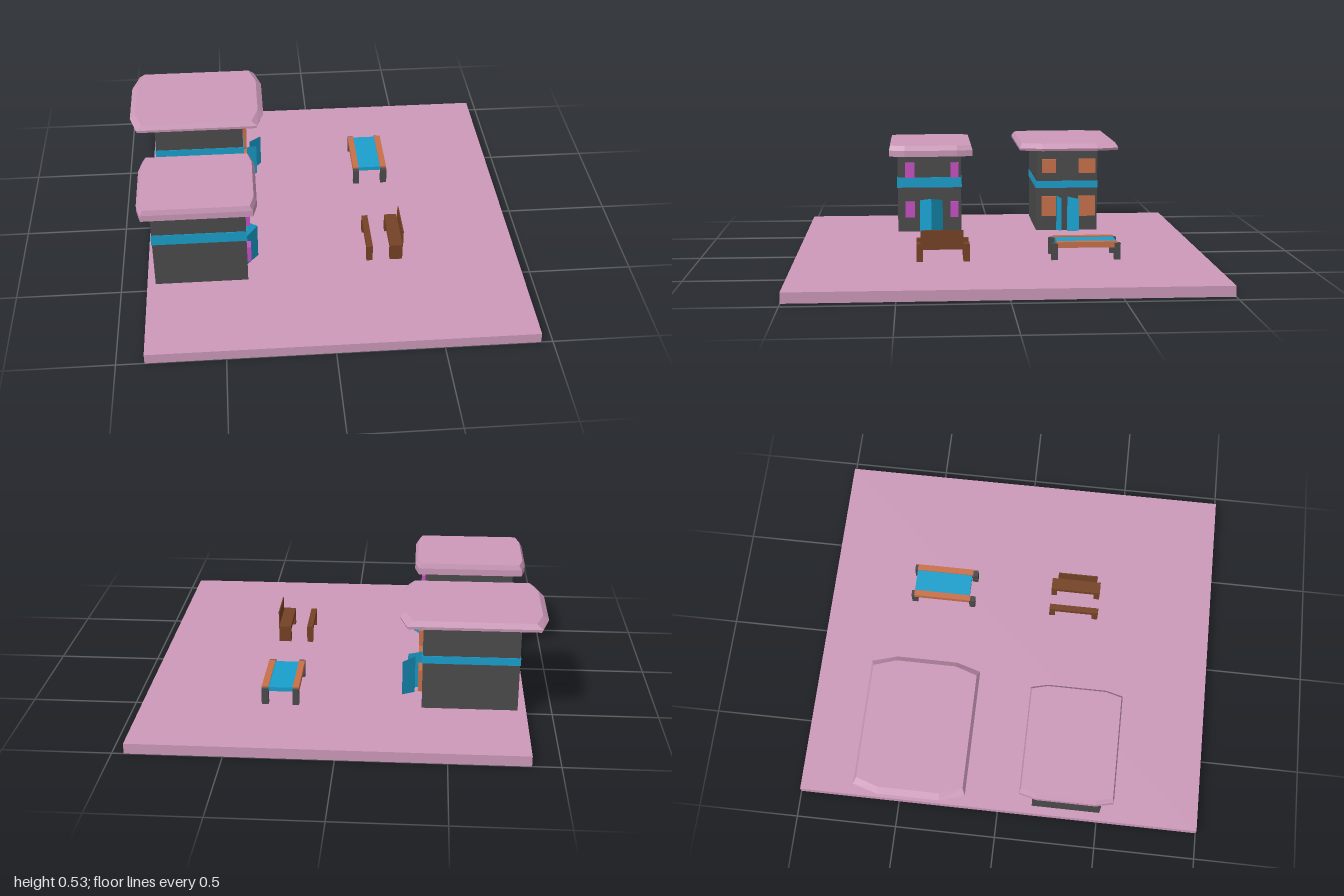
import * as THREE from 'three';

const material = (color, side = THREE.FrontSide) =>
  new THREE.MeshStandardMaterial({ color, flatShading: true, side });
const pink = material(0xcc99b9);
const dark = material(0x4b4b4b);
const blue = material(0x1a9fcc);
const blueThin = material(0x1a9fcc, THREE.DoubleSide);
const orange = material(0xc8704a);
const brown = material(0x754225);
const magenta = material(0xc850c4);

// Box given by its lower and upper bounds on each axis
function block(parent, name, mat, [x0, x1], [y0, y1], [z0, z1]) {
  const mesh = new THREE.Mesh(new THREE.BoxGeometry(x1 - x0, y1 - y0, z1 - z0), mat);
  mesh.position.set((x0 + x1) / 2, (y0 + y1) / 2, (z0 + z1) / 2);
  mesh.name = name;
  parent.add(mesh);
  return mesh;
}

// Solid lofted upward through eight-sided rings with bowed short sides
function roof(parent, cx, cz, rings, bow, straight) {
  const pos = [];
  const index = [];
  for (const [y, hx, hz] of rings) {
    const a = hx - bow;
    for (const [x, z] of [[a, hz], [hx, straight], [hx, -straight], [a, -hz],
      [-a, -hz], [-hx, -straight], [-hx, straight], [-a, hz]]) pos.push(cx + x, y, cz + z);
  }
  for (let r = 0; r < rings.length - 1; r++) {
    for (let i = 0; i < 8; i++) {
      const a = r * 8 + i, b = r * 8 + (i + 1) % 8;
      index.push(a, b, b + 8, a, b + 8, a + 8);
    }
  }
  const top = (rings.length - 1) * 8;
  for (let i = 1; i < 7; i++) {
    index.push(0, i + 1, i);
    index.push(top, top + i, top + i + 1);
  }
  const geometry = new THREE.BufferGeometry();
  geometry.setAttribute('position', new THREE.Float32BufferAttribute(pos, 3));
  geometry.setIndex(index);
  geometry.computeVertexNormals();
  const mesh = new THREE.Mesh(geometry, pink);
  mesh.name = 'roof';
  parent.add(mesh);
}

// Thin door leaf between two upright edges, each [x, z, bottom, top]
function doorLeaf(parent, name, [xa, za, a0, a1], [xb, zb, b0, b1]) {
  const geometry = new THREE.BufferGeometry();
  geometry.setAttribute('position', new THREE.Float32BufferAttribute(
    [xa, a0, za, xb, b0, zb, xb, b1, zb, xa, a1, za], 3));
  geometry.setIndex([0, 1, 2, 0, 2, 3]);
  geometry.computeVertexNormals();
  const mesh = new THREE.Mesh(geometry, blueThin);
  mesh.name = name;
  parent.add(mesh);
}

// Tower walls, coloured band and shutters on the +x wall
function tower(name, wall, top, z, band, shutterMat, shutterZ, shutterY) {
  const group = new THREE.Group();
  group.name = name;
  block(group, 'walls', dark, [-0.83, wall], [0.05, top], z);
  block(group, 'band', blue, [-0.833, wall + 0.003], band, [z[0] - 0.003, z[1] + 0.003]);
  for (const zs of shutterZ) {
    for (const ys of shutterY) block(group, 'shutter', shutterMat, [wall, wall + 0.02], ys, zs);
  }
  return group;
}

// Low bench: plank on two end legs
function bench(name, x) {
  const group = new THREE.Group();
  group.name = name;
  block(group, 'plank', brown, x, [0.11, 0.135], [0.155, 0.41]);
  for (const z of [[0.155, 0.185], [0.38, 0.41]]) block(group, 'benchLeg', brown, x, [0.05, 0.11], z);
  return group;
}

export function createModel() {
  const model = new THREE.Group();
  model.name = 'courtyard';
  block(model, 'ground', pink, [-0.87, 0.945], [0, 0.05], [-1, 1]);

  // Front tower
  const front = tower('frontTower', -0.385, 0.48, [0.17, 0.51], [0.29, 0.345], magenta,
    [[0.185, 0.228], [0.42, 0.47]], [[0.13, 0.215], [0.345, 0.425]]);
  roof(front, -0.61, 0.332, [[0.463, 0.28, 0.222], [0.495, 0.28, 0.222], [0.52, 0.266, 0.215]], 0.02, 0.14);
  for (const z of [0.393, 0.27]) {
    doorLeaf(front, 'doorLeaf', [-0.385, z, 0.05, 0.22], [-0.33, 0.332, 0.055, 0.237]);
  }
  model.add(front);

  // Back tower with a wider, flatter roof
  const back = tower('backTower', -0.38, 0.51, [-0.565, -0.235], [0.282, 0.32], orange,
    [[-0.34, -0.265], [-0.553, -0.463]], [[0.13, 0.238], [0.365, 0.44]]);
  roof(back, -0.61, -0.403, [[0.495, 0.335, 0.262], [0.508, 0.34, 0.263], [0.532, 0.312, 0.25]], 0.035, 0.145);
  doorLeaf(back, 'doorLeaf', [-0.38, -0.345, 0.05, 0.24], [-0.31, -0.365, 0.06, 0.235]);
  doorLeaf(back, 'doorLeaf', [-0.345, -0.4, 0.05, 0.24], [-0.285, -0.457, 0.063, 0.235]);
  model.add(back);

  // Table with a blue top between two rails
  const table = new THREE.Group();
  table.name = 'table';
  block(table, 'tableTop', blue, [0.23, 0.345], [0.112, 0.133], [-0.56, -0.27]);
  for (const x of [[0.2, 0.23], [0.345, 0.377]]) {
    block(table, 'rail', orange, x, [0.11, 0.138], [-0.56, -0.265]);
    for (const z of [[-0.575, -0.545], [-0.27, -0.24]]) {
      block(table, 'tableLeg', dark, x, [0.05, 0.13], z);
    }
  }
  model.add(table);

  // Two benches, one with a backrest
  model.add(bench('plainBench', [0.2, 0.23]));
  const backed = bench('backedBench', [0.315, 0.377]);
  block(backed, 'backrest', brown, [0.377, 0.382], [0.11, 0.205], [0.185, 0.39]);
  model.add(backed);

  model.position.x = -0.0;
  return model;
}
